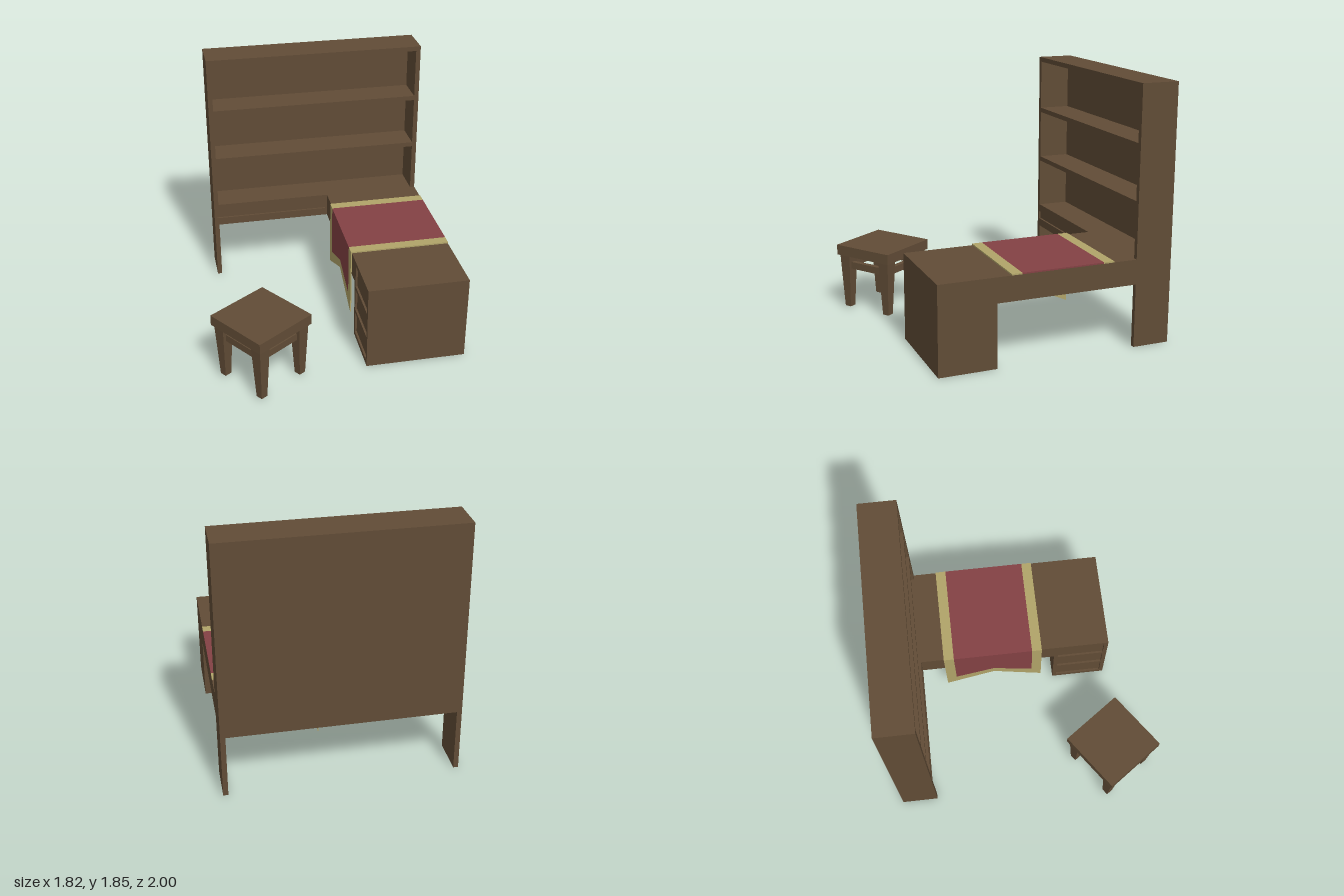
import * as THREE from 'three';

const mat = (name, color) => {
  const m = new THREE.MeshStandardMaterial({ color });
  m.name = name;
  return m;
};

export function createModel() {
  const wood = mat('walnut wood', 0x614c36);
  const red = mat('red cloth', 0x844144);
  const gold = mat('gold trim', 0xb1a469);
  const model = new THREE.Group();
  model.name = 'deskWithStool';

  const add = (parent, name, geometry, material) => {
    const mesh = new THREE.Mesh(geometry, material);
    mesh.name = name;
    parent.add(mesh);
    return mesh;
  };
  // box given by its limits on each axis
  const box = (parent, name, material, [x0, x1], [y0, y1], [z0, z1]) =>
    add(parent, name, new THREE.BoxGeometry(x1 - x0, y1 - y0, z1 - z0)
      .translate((x0 + x1) / 2, (y0 + y1) / 2, (z0 + z1) / 2), material);
  const outline = (pts) => new THREE.Shape(pts.map(([x, y]) => new THREE.Vector2(x, y)));
  const rectHole = (x0, x1, y0, y1) =>
    new THREE.Path([[x0, y0], [x0, y1], [x1, y1], [x1, y0]].map((p) => new THREE.Vector2(...p)));
  const extrude = (shape, depth) => new THREE.ExtrudeGeometry(shape, { depth, bevelEnabled: false });
  // profile drawn in (z, y), extruded between two x positions
  const sideExtrude = (shape, x0, x1) =>
    extrude(shape, x1 - x0).rotateY(-Math.PI / 2).translate(x1, 0, 0);

  // Bookcase: open front frame on two legs, closed by a back panel
  const bookcase = new THREE.Group();
  bookcase.name = 'bookcase';
  model.add(bookcase);
  const caseShape = () => outline([
    [-0.74, 0], [-0.705, 0], [-0.705, 0.46], [0.87, 0.46], [0.87, 0], [0.905, 0], [0.905, 1.85], [-0.74, 1.85],
  ]);
  const frame = caseShape();
  for (const [y0, y1] of [[0.64, 1.01], [1.045, 1.41], [1.445, 1.815]])
    frame.holes.push(rectHole(-0.705, 0.87, y0, y1));
  frame.holes.push(rectHole(-0.72, 0.16, 0.52, 0.58));
  add(bookcase, 'shelfFrame', extrude(frame, 0.235).translate(0, 0, -0.965), wood);
  add(bookcase, 'backPanel', extrude(caseShape(), 0.035).translate(0, 0, -1), wood);
  box(bookcase, 'wideDrawer', wood, [-0.72, 0.16], [0.52, 0.58], [-0.965, -0.745]);

  // Desk: thick top running forward to a drawer pedestal
  const desk = new THREE.Group();
  desk.name = 'desk';
  model.add(desk);
  const deskShape = () => outline([
    [-0.73, 0.46], [0.295, 0.46], [0.295, 0], [0.71, 0], [0.71, 0.64], [-0.73, 0.64],
  ]);
  add(desk, 'deskBody', sideExtrude(deskShape(), 0.19, 0.905), wood);
  // inner face with recessed drawer fronts
  const face = deskShape();
  for (let i = 0; i < 3; i++) {
    const y = 0.035 + i * 0.2;
    face.holes.push(rectHole(0.325, 0.68, y, y + 0.17));
  }
  add(desk, 'drawerFace', sideExtrude(face, 0.175, 0.19), wood);

  // Table runner: three bands on top and a notched drape on the inner side
  const runner = new THREE.Group();
  runner.name = 'tableRunner';
  model.add(runner);
  const across = [0.167, 0.906], height = [0.64, 0.65];
  box(runner, 'runnerCentre', red, across, height, [-0.48, 0.12]);
  box(runner, 'runnerBackTrim', gold, across, height, [-0.557, -0.48]);
  box(runner, 'runnerFrontTrim', gold, across, height, [0.12, 0.195]);
  const trim = outline([
    [-0.557, 0.64], [-0.557, 0.125], [-0.18, 0.292], [0.195, 0.125], [0.195, 0.64],
    [0.12, 0.64], [0.12, 0.25], [-0.18, 0.36], [-0.48, 0.25], [-0.48, 0.64],
  ]);
  const centre = outline([[-0.48, 0.64], [-0.48, 0.25], [-0.18, 0.36], [0.12, 0.25], [0.12, 0.64]]);
  add(runner, 'drapeTrim', sideExtrude(trim, 0.167, 0.175), gold);
  add(runner, 'drapeCentre', sideExtrude(centre, 0.167, 0.175), red);

  // Stool: square seat, tapered legs and four stretchers
  const stool = new THREE.Group();
  stool.name = 'stool';
  stool.position.set(-0.567, 0, 0.653);
  stool.rotation.y = 0.614;
  model.add(stool);
  box(stool, 'seat', wood, [-0.245, 0.245], [0.43, 0.507], [-0.247, 0.247]);
  const s = 0.185;
  for (const x of [-s, s]) {
    for (const z of [-s, s]) {
      const leg = new THREE.CylinderGeometry(0.09 / Math.SQRT2, 0.052 / Math.SQRT2, 0.415, 4)
        .rotateY(Math.PI / 4).toNonIndexed();
      leg.computeVertexNormals();
      add(stool, 'stoolLeg', leg, wood).position.set(x, 0.2225, z);
    }
    const bar = [x - 0.018, x + 0.018];
    box(stool, 'sideStretcher', wood, bar, [0.322, 0.375], [-s, s]);
    box(stool, 'crossStretcher', wood, [-s, s], [0.322, 0.375], bar);
  }
  return model;
}
